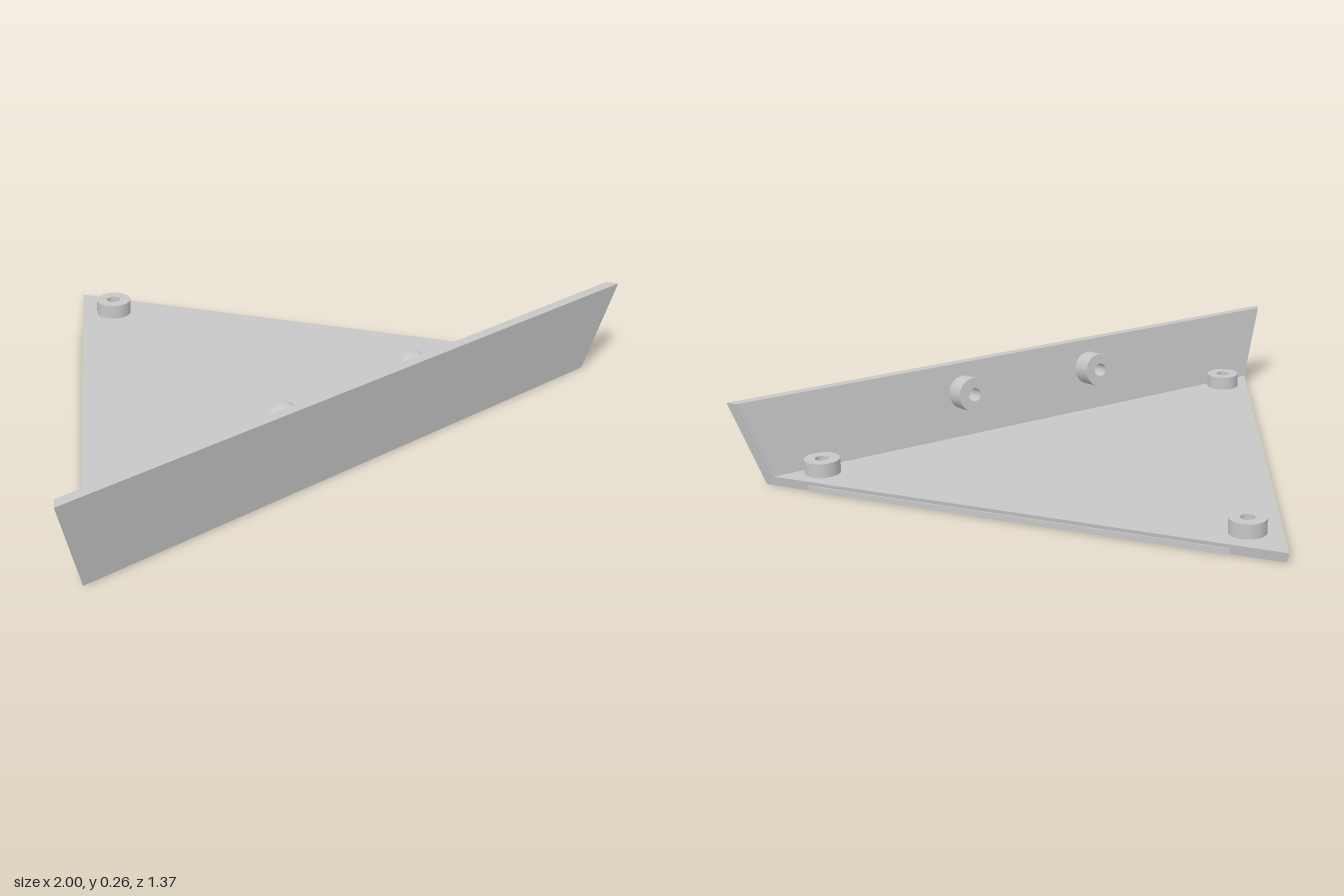
import * as THREE from 'three';

// Solid between two matching corner loops; the first is counter-clockwise seen from its outside
function loft(p, q) {
  const pos = [];
  const tri = (a, b, c) => pos.push(...a, ...b, ...c);
  const n = p.length;
  for (let i = 1; i < n - 1; i++) {
    tri(p[0], p[i], p[i + 1]);
    tri(q[0], q[i + 1], q[i]);
  }
  for (let i = 0; i < n; i++) {
    const j = (i + 1) % n;
    tri(p[i], q[i], q[j]);
    tri(p[i], q[j], p[j]);
  }
  const g = new THREE.BufferGeometry();
  g.setAttribute('position', new THREE.Float32BufferAttribute(pos, 3));
  g.computeVertexNormals();
  return g;
}

// Round boss with a central hole; each profile segment is its own surface so edges stay sharp
function boss(name, height, material) {
  const R = 0.054, r = 0.021;
  const profile = [[R, -0.004], [R, height], [r, height], [r, 0.002], [0, 0.002]];
  const group = new THREE.Group();
  group.name = name;
  const parts = ['bossWall', 'bossRim', 'bossHole', 'bossHoleFloor'];
  parts.forEach((part, i) => {
    const pts = [profile[i], profile[i + 1]].map(([x, y]) => new THREE.Vector2(x, y));
    const mesh = new THREE.Mesh(new THREE.LatheGeometry(pts, 40), material);
    mesh.name = part;
    group.add(mesh);
  });
  return group;
}

export function createModel() {
  const model = new THREE.Group();
  model.name = 'triangularBracket';
  const grey = new THREE.MeshStandardMaterial({ color: 0xc7c7c7 });
  grey.name = 'lightGrey';
  const add = (name, geometry) => {
    const mesh = new THREE.Mesh(geometry, grey);
    mesh.name = name;
    model.add(mesh);
  };

  // Triangular base with undercut sides
  const y = 0.03, h = 0.265;
  add('basePlate', loft(
    [[0, 0, -0.677], [0.912, 0, 0.655], [-0.912, 0, 0.655]],
    [[0, y, -0.687], [0.9, y, 0.627], [-0.9, y, 0.627]]));

  // Outward-leaning front wall with mitred ends
  add('frontWall', loft(
    [[-0.912, 0, 0.655], [0.912, 0, 0.655], [1, h, 0.687], [-1, h, 0.687]],
    [[-0.9, y, 0.627], [0.9, y, 0.627], [0.98, h, 0.657], [-0.98, h, 0.657]]));

  // Shallow lip low on each slanted side
  const lipLoop = (offset) => [[0.53, 0], [-0.55, 0], [-0.55, 0.018], [0.53, 0.018]].map(([z, py]) =>
    [(z + 0.677) * 0.685 + 0.826 * offset, py, z - 0.565 * offset]);
  const mirror = (loop) => loop.map(([x, py, z]) => [-x, py, z]).reverse();
  add('leftLip', loft(lipLoop(0.007), lipLoop(-0.01)));
  add('rightLip', loft(mirror(lipLoop(0.007)), mirror(lipLoop(-0.01))));

  // Bosses at the base corners
  for (const [x, z] of [[0, -0.511], [0.762, 0.58], [-0.762, 0.58]]) {
    const b = boss('baseBoss', 0.044, grey);
    b.position.set(x, y, z);
    model.add(b);
  }

  // Bosses square to the inner face of the wall
  const normal = new THREE.Vector3(0, 0.03, -0.235).normalize();
  for (const x of [-0.238, 0.238]) {
    const b = boss('wallBoss', 0.07, grey);
    b.position.set(x, 0.17, 0.645);
    b.quaternion.setFromUnitVectors(new THREE.Vector3(0, 1, 0), normal);
    model.add(b);
  }
  return model;
}
